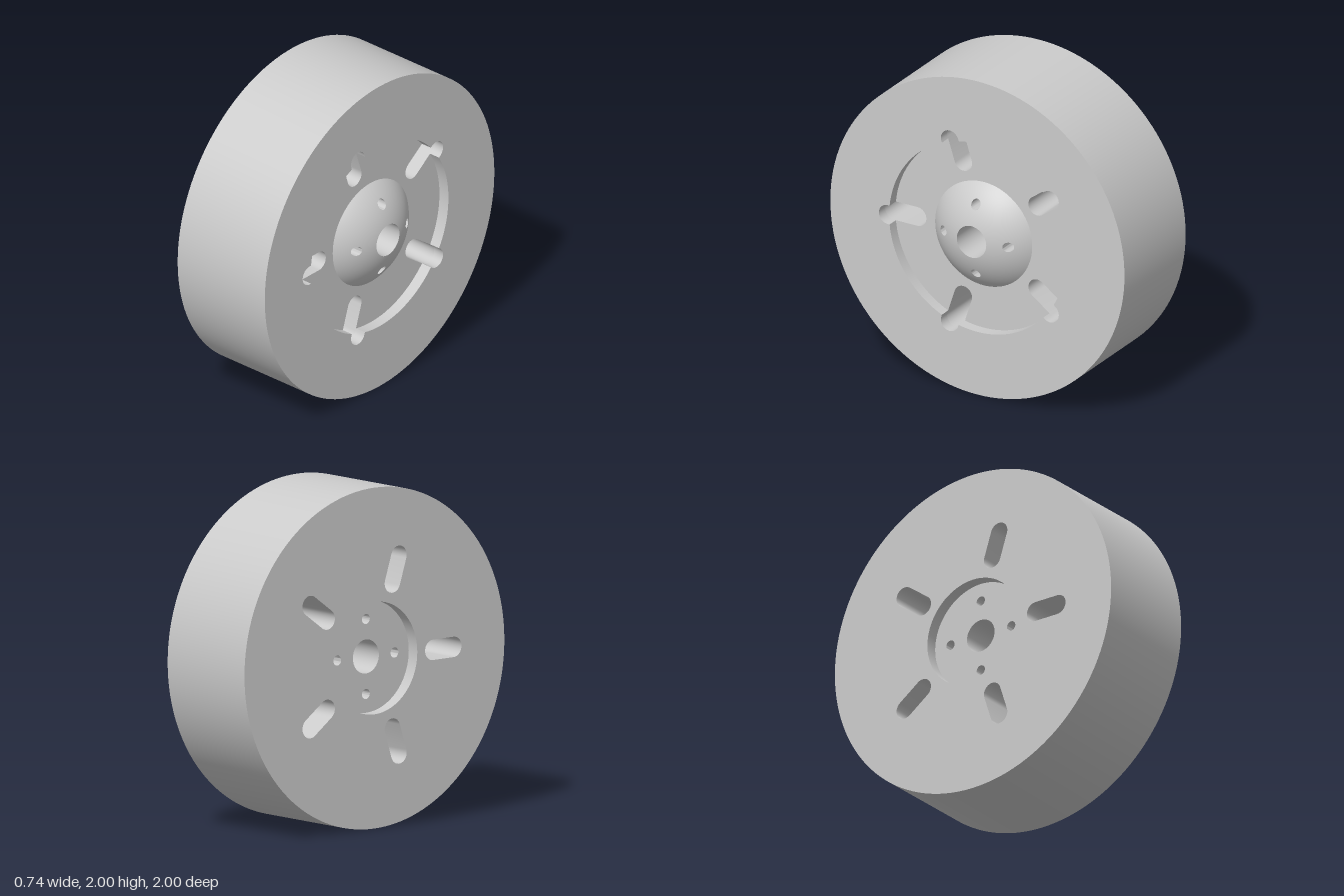
import * as THREE from 'three';
import { toCreasedNormals } from 'three/addons/utils/BufferGeometryUtils.js';

// Wheel is drawn in the XY plane with its axle on Z, then turned onto X.
const BACK = -0.37, FRONT = 0.305, TIP = 0.37, BACK_FLOOR = -0.295;
const RIM_R = 1, RECESS_R = 0.6, HUB_R = 0.33, BORE_R = 0.1, BOLT_R = 0.03, BOLT_AT = 0.22;
const SLOT_IN = 0.45, SLOT_OUT = 0.61, SLOT_HALF = 0.06, SLOTS = 5;
const DOME_C = -0.066, DOME_R = 0.447;
const domeZ = (p) => DOME_C + Math.sqrt(DOME_R ** 2 - p.x ** 2 - p.y ** 2);
const FLOOR = DOME_C + Math.sqrt(DOME_R ** 2 - HUB_R ** 2);

// points on an arc, both ends included
function arc(r, a0, a1, n, cx = 0) {
  return Array.from({ length: n + 1 }, (_, i) => {
    const a = a0 + (a1 - a0) * i / n;
    return new THREE.Vector2(cx + r * Math.cos(a), r * Math.sin(a));
  });
}
const circle = (r, n) => arc(r, 0, Math.PI * 2, n).slice(0, -1);
const ORIGIN = new THREE.Vector2();
const turn = (pts, a) => pts.map((p) => p.clone().rotateAround(ORIGIN, a));

// flat face with holes
function face(outline, holes, z, faceBack = false) {
  const shape = new THREE.Shape(outline);
  shape.holes = holes.map((h) => new THREE.Path(h));
  const g = new THREE.ShapeGeometry(shape);
  if (faceBack) {
    g.index.array.reverse();
    g.computeVertexNormals();
  }
  return g.translate(0, 0, z);
}

// wall along a closed counter-clockwise contour; a hole's wall faces inward
function wall(contour, lo, hi, isHole = true) {
  const pts = isHole ? [...contour].reverse() : contour;
  const top = typeof hi === 'function' ? hi : () => hi;
  const pos = [], idx = [];
  pts.forEach((p, i) => {
    pos.push(p.x, p.y, lo, p.x, p.y, top(p));
    const a = 2 * i, b = 2 * ((i + 1) % pts.length);
    idx.push(a, b, b + 1, a, b + 1, a + 1);
  });
  const g = new THREE.BufferGeometry();
  g.setAttribute('position', new THREE.Float32BufferAttribute(pos, 3));
  g.setIndex(idx);
  return toCreasedNormals(g, 0.6);
}

// a quarter of the dome, lofted from its bolt hole out to the sector edge
function domeQuarter(ring, edge) {
  const steps = 8, n = ring.length, pos = [], nor = [], idx = [];
  for (let s = 0; s <= steps; s++) {
    for (let i = 0; i < n; i++) {
      const p = ring[i].clone().lerp(edge[i], s / steps);
      const z = domeZ(p);
      pos.push(p.x, p.y, z);
      nor.push(p.x / DOME_R, p.y / DOME_R, (z - DOME_C) / DOME_R);
      if (s === steps) continue;
      const a = s * n + i, b = s * n + (i + 1) % n;
      idx.push(a, a + n, b + n, a, b + n, b);
    }
  }
  const g = new THREE.BufferGeometry();
  g.setAttribute('position', new THREE.Float32BufferAttribute(pos, 3));
  g.setAttribute('normal', new THREE.Float32BufferAttribute(nor, 3));
  g.setIndex(idx);
  return g;
}

export function createModel() {
  const material = new THREE.MeshStandardMaterial({ color: 0xcccccc });
  const wheel = new THREE.Group();
  wheel.name = 'wheel';
  const add = (name, geometry) => {
    const mesh = new THREE.Mesh(geometry, material);
    mesh.name = name;
    wheel.add(mesh);
  };

  // contours
  const H = Math.PI / 2, Q = Math.PI / 4;
  const rim = circle(RIM_R, 128), hub = circle(HUB_R, 96), bore = circle(BORE_R, 48);
  const outerCap = arc(SLOT_HALF, -H, H, 16, SLOT_OUT);
  const innerCap = arc(SLOT_HALF, H, 3 * H, 16, SLOT_IN);
  const angles = Array.from({ length: SLOTS }, (_, i) => Math.PI + i * Math.PI * 2 / SLOTS);
  const slots = angles.map((a) => turn([...outerCap, ...innerCap], a));

  // recess circle, bulging out round the slot ends or notched in by them
  const half = Math.asin(SLOT_HALF / RECESS_R);
  const recess = (cap) => angles.flatMap((a) => [
    ...turn(cap, a),
    ...arc(RECESS_R, a + half, a + Math.PI * 2 / SLOTS - half, 20),
  ]);
  const recessOpening = recess(outerCap);
  const recessFloor = recess([...innerCap].reverse());

  // bolt hole ring matched point for point to the edge of its dome sector
  const line = (a, r0, r1) => Array.from({ length: 6 }, (_, i) =>
    new THREE.Vector2(Math.cos(a), Math.sin(a)).multiplyScalar(r0 + (r1 - r0) * i / 6));
  const edge = [
    ...arc(HUB_R, -Q, Q, 24).slice(0, -1), ...line(Q, HUB_R, BORE_R),
    ...arc(BORE_R, Q, -Q, 12).slice(0, -1), ...line(-Q, BORE_R, HUB_R),
  ];
  const ring = edge.map((p) => {
    const a = Math.atan2(p.y, p.x - BOLT_AT);
    return new THREE.Vector2(BOLT_AT + BOLT_R * Math.cos(a), BOLT_R * Math.sin(a));
  });
  const quarters = [0, 1, 2, 3].map((i) => i * H);
  const bolts = quarters.map((a) => turn(ring, a));

  // tyre body
  add('tread', wall(rim, BACK, FRONT, false));
  add('outerFace', face(rim, [recessOpening], FRONT));
  add('innerFace', face(rim, [hub, ...slots], BACK, true));

  // outer recess and slots
  add('recessWall', wall(recessOpening, FLOOR, FRONT));
  add('recessFloor', face(recessFloor, [hub], FLOOR));
  slots.forEach((s) => add('slotWall', wall(s, BACK, FLOOR)));

  // inner hub pocket
  add('hubPocketWall', wall(hub, BACK, BACK_FLOOR));
  add('hubPocketFloor', face(hub, [bore, ...bolts], BACK_FLOOR, true));

  // domed hub with bore and bolt holes
  quarters.forEach((a, i) => {
    add('hubDome', domeQuarter(bolts[i], turn(edge, a)));
    add('boltHole', wall(bolts[i], BACK_FLOOR, domeZ));
  });
  add('axleBore', wall(bore, BACK_FLOOR, TIP));

  wheel.rotation.y = Math.PI / 2;
  wheel.position.y = RIM_R;
  const model = new THREE.Group();
  model.add(wheel);
  return model;
}
